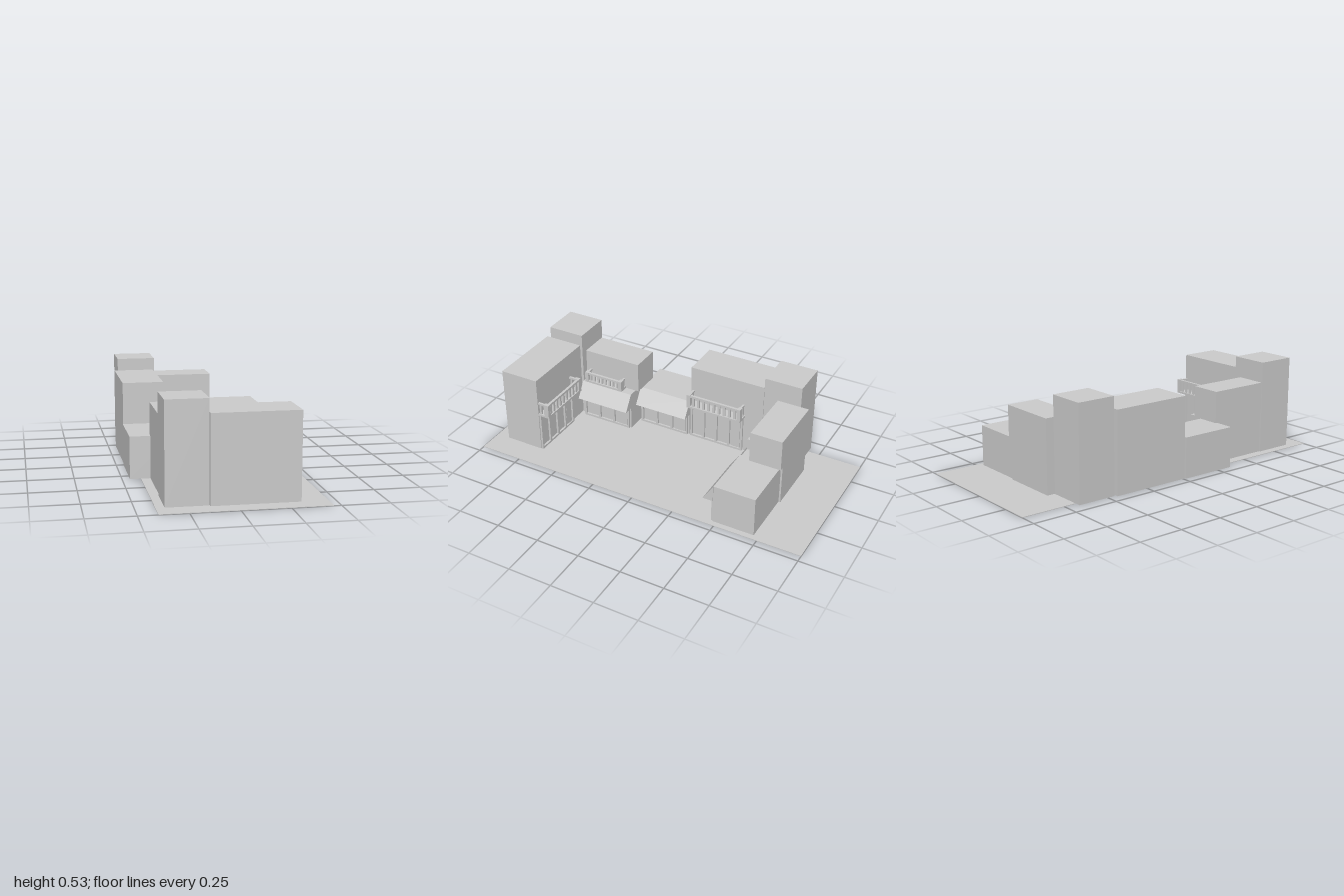
import * as THREE from 'three';

const material = new THREE.MeshStandardMaterial({ color: 0xcccccc, flatShading: true });

// Box given by its lower and upper limits on each axis
function block(parent, name, x0, x1, y0, y1, z0, z1) {
  const mesh = new THREE.Mesh(new THREE.BoxGeometry(x1 - x0, y1 - y0, z1 - z0), material);
  mesh.position.set((x0 + x1) / 2, (y0 + y1) / 2, (z0 + z1) / 2);
  mesh.name = name;
  parent.add(mesh);
  return mesh;
}

// Group attached to a wall: local x runs along the wall, local z points away from it
function onWall(parent, name, x, z, angle) {
  const group = new THREE.Group();
  group.name = name;
  group.position.set(x, 0, z);
  group.rotation.y = angle;
  parent.add(group);
  return group;
}

// Sloping wedge over a shopfront
function awning(wall, width, depth = 0.06) {
  const profile = new THREE.Shape([
    new THREE.Vector2(0, 0.142), new THREE.Vector2(depth, 0.142), new THREE.Vector2(0, 0.235),
  ]);
  const geometry = new THREE.ExtrudeGeometry(profile, { depth: width, bevelEnabled: false });
  geometry.rotateY(-Math.PI / 2).translate(width / 2, 0, 0);
  const mesh = new THREE.Mesh(geometry, material);
  mesh.name = 'awning';
  wall.add(mesh);
}

// Thin frame with mullions and a door leaf
function shopfront(wall, width, height = 0.14, bays = 3) {
  const t = 0.012;
  const w = width / 2;
  block(wall, 'lintel', -w, w, height - t, height, 0, 0.012);
  block(wall, 'sill', -w, w, 0.004, 0.016, 0, 0.012);
  for (let i = 0; i <= bays; i++) {
    const x = -w + t / 2 + (i * (width - t)) / bays;
    block(wall, 'mullion', x - t / 2, x + t / 2, 0.016, height - t, 0, 0.012);
  }
  block(wall, 'door', w - width / bays + 0.014, w - 0.018, 0.016, height - 0.02, 0, 0.005);
}

// Slab, solid ends, rail and balusters
function balcony(wall, width, depth, top, count) {
  const y = 0.235;
  const w = width / 2;
  const end = 0.022;
  block(wall, 'balconySlab', -w, w, y, y + 0.012, 0, depth);
  for (const side of [-1, 1]) {
    const x = side * (w - end / 2);
    block(wall, 'balconyEnd', x - end / 2, x + end / 2, y + 0.012, top, depth - 0.03, depth);
    block(wall, 'sideRail', x - 0.006, x + 0.006, top - 0.014, top - 0.002, 0, depth - 0.03);
    block(wall, 'sideBaluster', x - 0.006, x + 0.006, y + 0.012, top - 0.014, 0.008, 0.02);
  }
  block(wall, 'railing', -w + end, w - end, top - 0.014, top - 0.002, depth - 0.018, depth - 0.003);
  const pitch = (width - 2 * end) / count;
  for (let i = 0; i < count; i++) {
    const x = -w + end + (i + 0.5) * pitch;
    block(wall, 'baluster', x - pitch * 0.22, x + pitch * 0.22, y + 0.012, top - 0.014, depth - 0.016, depth - 0.006);
  }
}

export function createModel() {
  const model = new THREE.Group();
  model.name = 'courtyardStreet';

  block(model, 'ground', -0.4, 0.46, 0, 0.003, -1, 1);

  // Solid masses
  block(model, 'frontHouse', -0.135, 0.32, 0.006, 0.465, 0.69, 0.92);
  block(model, 'frontTower', -0.355, -0.135, 0.003, 0.533, 0.675, 0.895);
  block(model, 'sideShopLower', -0.35, -0.12, 0.004, 0.235, 0.34, 0.67);
  block(model, 'sideShopUpper', -0.35, -0.175, 0.235, 0.415, 0.32, 0.675);
  block(model, 'lowShop', -0.46, -0.225, 0.004, 0.235, 0.005, 0.333);
  block(model, 'middleHouse', -0.457, -0.23, 0.006, 0.465, -0.457, -0.002);
  block(model, 'backTower', -0.437, -0.22, 0.003, 0.533, -0.683, -0.463);
  block(model, 'backShopLower', -0.22, 0.11, 0.004, 0.235, -0.73, -0.49);
  block(model, 'backShopUpper', -0.22, 0.135, 0.235, 0.415, -0.73, -0.545);
  block(model, 'cornerShop', 0.11, 0.43, 0.004, 0.235, -0.72, -0.48);

  // Shop walls facing the courtyard
  const right = Math.PI / 2;
  const shops = [
    ['sideShopFront', -0.12, 0.505, right, 0.33, 0.31],
    ['lowShopFront', -0.225, 0.169, right, 0.328, 0.31],
    ['backShopFront', -0.055, -0.49, 0, 0.33, 0.31],
    ['cornerShopFront', 0.272, -0.48, 0, 0.325, 0.305],
  ];
  for (const [name, x, z, angle, width, frame] of shops) {
    const wall = onWall(model, name, x, z, angle);
    awning(wall, width);
    shopfront(wall, frame);
  }
  shopfront(onWall(model, 'middleHouseFront', -0.23, -0.172, right), 0.335, 0.233, 4);
  shopfront(onWall(model, 'frontHouseFront', 0.15, 0.69, Math.PI), 0.33, 0.233, 4);

  // Balconies
  balcony(onWall(model, 'frontBalcony', 0.15, 0.69, Math.PI), 0.34, 0.07, 0.32, 9);
  balcony(onWall(model, 'middleBalcony', -0.23, -0.178, right), 0.34, 0.07, 0.32, 9);
  balcony(onWall(model, 'sideBalcony', -0.175, 0.53, right), 0.25, 0.055, 0.3, 8);
  balcony(onWall(model, 'backBalcony', -0.08, -0.545, 0), 0.25, 0.055, 0.3, 8);

  return model;
}
